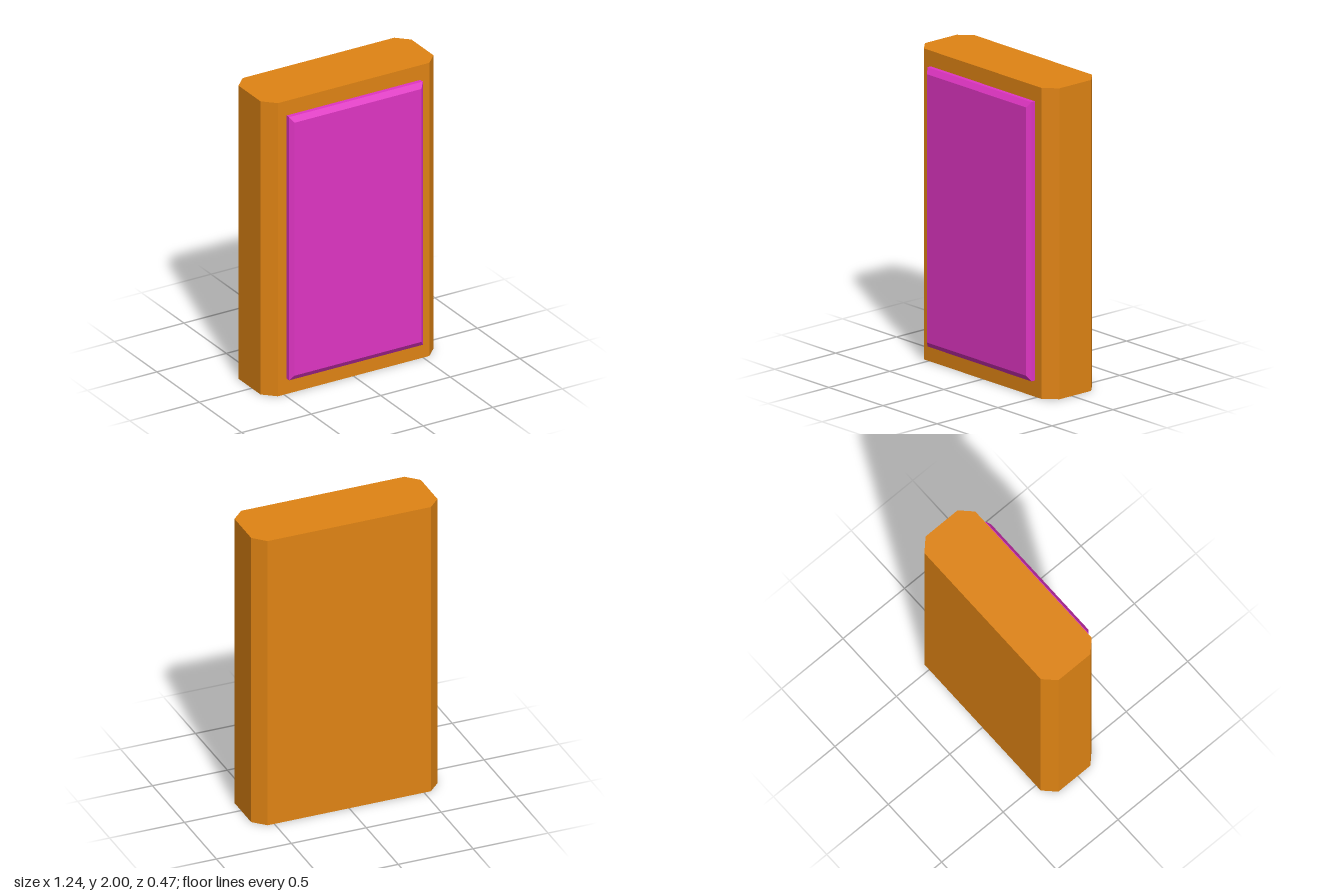
import * as THREE from 'three';

const material = (color) => new THREE.MeshStandardMaterial({ color, flatShading: true });

// Upright slab with its four vertical corners cut off
function createBody() {
  const w = 0.622, front = 0.18, back = -0.234, c = 0.077;
  const outline = [
    [-w + c, -front], [w - c, -front], [w, -front + c], [w, -back - c],
    [w - c, -back], [-w + c, -back], [-w, -back - c], [-w, -front + c],
  ].map(([x, y]) => new THREE.Vector2(x, y));
  const geometry = new THREE.ExtrudeGeometry(new THREE.Shape(outline), { depth: 2, bevelEnabled: false });
  geometry.rotateX(-Math.PI / 2);
  const mesh = new THREE.Mesh(geometry, material(0xe08414));
  mesh.name = 'body';
  return mesh;
}

// Raised front panel: a box whose front edge loop is drawn in to form a bevel
function createPanel() {
  const halfW = 0.481, bottom = 0.104, top = 1.9;
  const halfH = (top - bottom) / 2;
  const geometry = new THREE.BoxGeometry(halfW * 2, halfH * 2, 2, 1, 1, 2);
  const p = geometry.attributes.position;
  for (let i = 0; i < p.count; i++) {
    const z = p.getZ(i);
    if (z > 0.5) {
      p.setXYZ(i, Math.sign(p.getX(i)) * (halfW - 0.024), Math.sign(p.getY(i)) * (halfH - 0.035), 0.231);
    } else {
      p.setZ(i, z < -0.5 ? 0.17 : 0.208);
    }
  }
  geometry.computeVertexNormals();
  const mesh = new THREE.Mesh(geometry, material(0xe035c4));
  mesh.position.y = (top + bottom) / 2;
  mesh.name = 'frontPanel';
  return mesh;
}

export function createModel() {
  const model = new THREE.Group();
  model.name = 'panelledSlab';
  model.add(createBody(), createPanel());
  return model;
}
